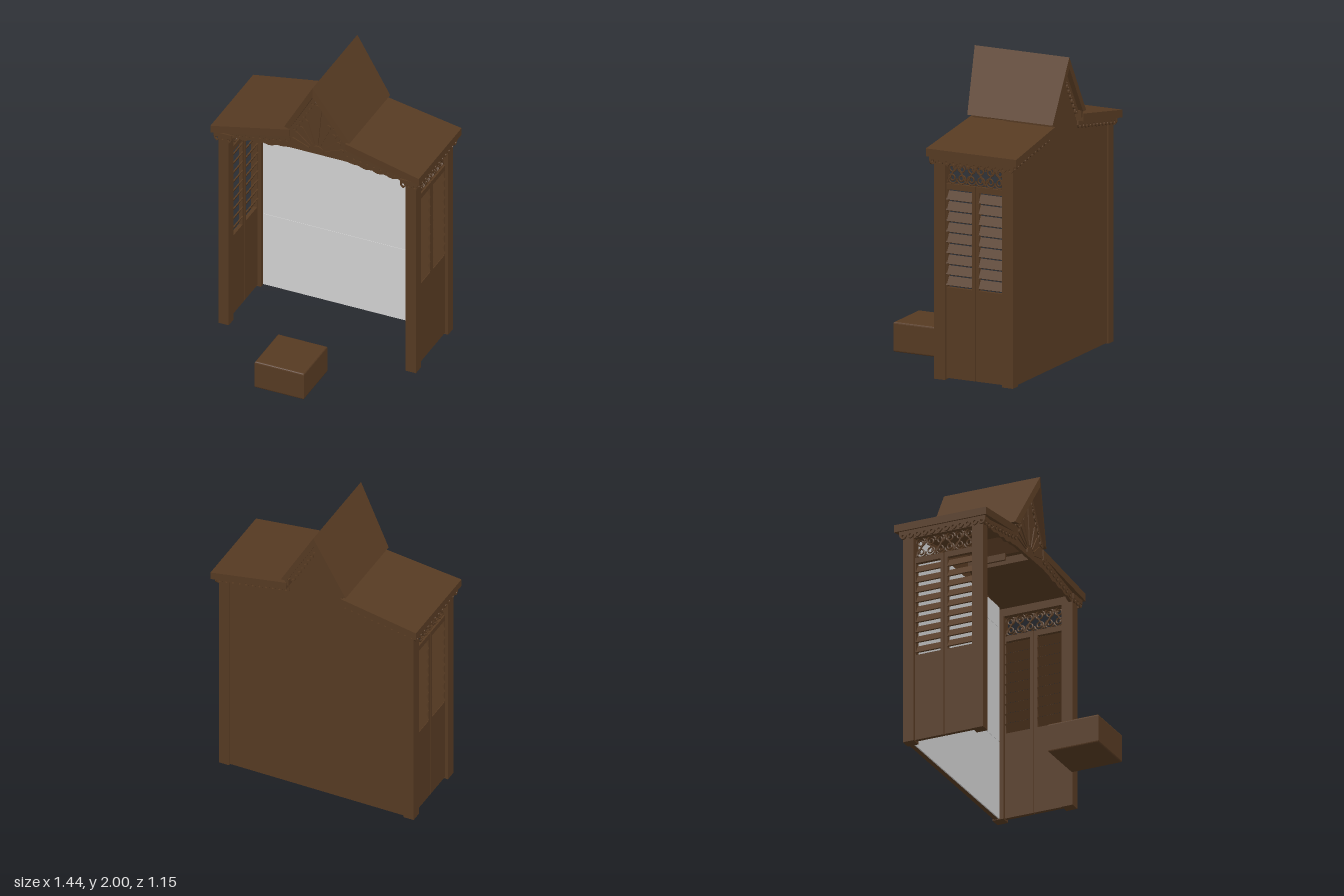
import * as THREE from 'three';

const wood = new THREE.MeshStandardMaterial({ color: 0x563a22 });
wood.name = 'darkWood';
const grey = new THREE.MeshStandardMaterial({ color: 0xd2d2d2 });
grey.name = 'greyPanel';

function add(parent, name, geo, mat = wood) {
  const m = new THREE.Mesh(geo, mat);
  m.name = name;
  parent.add(m);
  return m;
}

// Box given by its limits on each axis
function box(parent, name, x0, x1, y0, y1, z0, z1, mat = wood) {
  const m = add(parent, name, new THREE.BoxGeometry(Math.abs(x1 - x0), y1 - y0, Math.abs(z1 - z0)), mat);
  m.position.set((x0 + x1) / 2, (y0 + y1) / 2, (z0 + z1) / 2);
  return m;
}

const shapeOf = pts => new THREE.Shape(pts.map(p => new THREE.Vector2(p[0], p[1])));
const extrude = (shape, depth) =>
  new THREE.ExtrudeGeometry(shape, { depth, bevelEnabled: false, curveSegments: 6 });

// Flat outline extruded from z0 to z1
function plate(parent, name, pts, z0, z1) {
  const m = add(parent, name, extrude(shapeOf(pts), z1 - z0));
  m.position.z = z0;
  return m;
}

// Roof slab with a slanting front edge
function slab(parent, name, pts, front) {
  const geo = extrude(shapeOf(pts), 1);
  const p = geo.attributes.position;
  for (let i = 0; i < p.count; i++) p.setZ(i, p.getZ(i) > 0.5 ? front(Math.abs(p.getX(i))) : -0.578);
  geo.computeVertexNormals();
  add(parent, name, geo);
}

// Pierced trim hanging in scallops below the line from p to q
function scallops(parent, name, p, q, w, n, z, t) {
  const dx = q[0] - p[0], dy = q[1] - p[1], s = Math.hypot(dx, dy) / n;
  const shape = new THREE.Shape();
  shape.moveTo(0, 0);
  shape.lineTo(0, -w * 0.6);
  for (let i = 0; i < n; i++) {
    shape.quadraticCurveTo((i + 0.5) * s, -w * 1.4, (i + 1) * s, -w * 0.6);
    const hole = new THREE.Path();
    hole.absarc((i + 0.5) * s, -w * 0.62, w * 0.17, 0, Math.PI * 2, true);
    shape.holes.push(hole);
  }
  shape.lineTo(n * s, 0);
  const m = add(parent, name, extrude(shape, t));
  m.position.set(p[0], p[1], z);
  m.rotation.z = Math.atan2(dy, dx);
  return m;
}

// Spiral scroll lying in the y-z plane
function scroll(parent, x, y, z, flipY, flipZ) {
  const pts = [];
  for (let i = 0; i <= 16; i++) {
    const a = i / 16 * Math.PI * 3.2, r = 0.036 - 0.028 * i / 16;
    pts.push(new THREE.Vector3(0, flipY * r * Math.sin(a), flipZ * r * Math.cos(a)));
  }
  const geo = new THREE.TubeGeometry(new THREE.CatmullRomCurve3(pts), 30, 0.0055, 5);
  add(parent, 'scroll', geo).position.set(x, y, z);
}

function buildSide(parent, s) {
  const side = new THREE.Group();
  side.name = s > 0 ? 'leftSide' : 'rightSide';
  parent.add(side);

  // Posts and top beam
  box(side, 'frontPost', s * 0.61, s * 0.68, 0.01, 1.457, -0.055, 0.02);
  box(side, 'backPost', s * 0.61, s * 0.68, 0.01, 1.457, -0.535, -0.46);
  box(side, 'topBeam', s * 0.612, s * 0.678, 1.405, 1.457, -0.46, -0.055);

  // Two louvred shutters
  for (const [a, b, inner] of [[-0.055, -0.2575, -1], [-0.46, -0.2625, 1]]) {
    const x0 = s * 0.633, x1 = s * 0.658;
    const edge = b - inner * 0.0225;
    box(side, 'shutterPanel', x0, x1, 0.02, 0.605, a, b);
    box(side, 'shutterRail', x0, x1, 1.238, 1.275, a, b);
    box(side, 'shutterStile', x0, x1, 0.605, 1.238, edge, b);
    box(side, 'shutterEdge', x0, x1, 0.605, 1.238, a, a + inner * 0.006);
    for (let i = 0; i < 9; i++) {
      const y = 0.6455 + 0.069 * i;
      box(side, 'slat', s * 0.6415, s * 0.6495, y - 0.03, y + 0.03, a, edge).rotation.z = s * 0.5;
    }
  }

  // Scrolled fretwork
  for (let i = 0; i < 6; i++) {
    const z = -0.09 - i * 0.067;
    for (let j = 0; j < 2; j++) scroll(side, s * 0.645, 1.311 + j * 0.066, z, j ? 1 : -1, (i + j) % 2 ? 1 : -1);
    const vine = box(side, 'fretLink', s * 0.64, s * 0.65, 1.275, 1.41, z - 0.004, z + 0.004);
    vine.rotation.x = i % 2 ? 0.55 : -0.55;
  }

  // Trim below the eaves
  const trim = scallops(side, 'sideTrim', [0, 0], [0.595, 0], 0.055, 12, 0, 0.012);
  trim.rotation.y = Math.PI / 2;
  trim.position.set(s > 0 ? 0.69 : -0.702, 1.455, 0.045);
  const c = s > 0 ? 0.58 : -0.702;
  scallops(side, 'cornerTrim', [c, 1.452], [c + 0.122, 1.452], 0.06, 3, 0.033, 0.01);

  // Sloping roof
  slab(side, 'sideRoof',
    [[s * 0.718, 1.45], [s * 0.718, 1.5], [s * 0.19, 1.594], [s * 0.19, 1.544]],
    x => 0.022 + (x - 0.22) * 0.074);
  box(side, 'roofSpacer', s * 0.175, s * 0.2, 1.57, 1.615, -0.11, 0.0);
  box(side, 'roofSpacer', s * 0.175, s * 0.2, 1.57, 1.615, -0.57, -0.24);

  // Steep gable roof
  slab(side, 'gableRoof',
    [[s * 0.226, 1.61], [0, 2], [0, 1.93], [s * 0.185, 1.61]],
    x => 0.09 - x * 0.29);
}

// Tapered ray of the gable fan
function ray(parent, angle, length, width) {
  const shape = new THREE.Shape();
  shape.moveTo(-width * 0.25, 0.06);
  shape.lineTo(width * 0.25, 0.06);
  shape.lineTo(width, length - width);
  shape.absarc(0, length - width, width, 0, Math.PI, false);
  const m = add(parent, 'fanRay', extrude(shape, 0.008));
  m.position.set(0, 1.478, 0.0145);
  m.rotation.z = angle;
}

export function createModel() {
  const model = new THREE.Group();
  model.name = 'gardenArbour';
  for (const s of [1, -1]) buildSide(model, s);

  // Back wall running up into the gable
  const roofLine = [[0.19, 1.55], [0.19, 1.62], [0, 1.945], [-0.19, 1.62], [-0.19, 1.55]];
  plate(model, 'backWall',
    [[-0.612, 0.015], [0.612, 0.015], [0.612, 1.472], ...roofLine, [-0.612, 1.472]], -0.525, -0.495);
  [[0.016, 0.544], [0.546, 1.329], [1.331, 1.475]].forEach(([a, b]) =>
    box(model, 'backPanel', -0.609, 0.609, a, b, -0.495, -0.487, grey));

  // Front fascia with a wavy lower edge
  const lower = [];
  for (let i = 0; i <= 70; i++) {
    const x = -0.69 + i * 1.38 / 70;
    const t = Math.max(0, (Math.abs(x) - 0.2) / 0.4);
    lower.push([x, 1.46 - 0.034 * t - 0.014 * Math.min(1, t * 3) * Math.abs(Math.sin(x * 34))]);
  }
  plate(model, 'frontFascia', [...lower, [0.69, 1.458], ...roofLine, [-0.69, 1.458]], -0.005, 0.015);

  // Trim along the front and back roof lines
  for (const [z, name] of [[0.0145, 'frontTrim'], [-0.545, 'backTrim']]) {
    const t = z > 0 ? 0.0075 : 0.012;
    scallops(model, name, [-0.7, 1.456], [-0.19, 1.546], 0.05, 11, z, t);
    scallops(model, name, [0.19, 1.546], [0.7, 1.456], 0.05, 11, z, t);
    scallops(model, name, [-0.19, 1.605], [0, 1.932], 0.038, 9, z, t);
    scallops(model, name, [0, 1.932], [0.19, 1.605], 0.038, 9, z, t);
  }

  // Fan carving in the gable
  ray(model, 0, 0.35, 0.03);
  for (const s of [1, -1])
    for (const [a, l, w] of [[0.36, 0.235, 0.016], [0.66, 0.2, 0.018], [0.98, 0.19, 0.016], [1.27, 0.19, 0.012]])
      ray(model, s * a, l, w);
  const hub = add(model, 'fanHub', new THREE.CylinderGeometry(0.045, 0.045, 0.008, 20, 1, false, Math.PI / 2, Math.PI));
  hub.rotation.x = Math.PI / 2;
  hub.position.set(0, 1.478, 0.0185);
  add(model, 'gableRing', new THREE.TorusGeometry(0.016, 0.005, 6, 16)).position.set(0, 1.86, 0.018);

  // Low stool with softened edges
  const b = 0.012;
  const seat = new THREE.Shape();
  const hx = 0.17 - b, hz = 0.175 - b;
  seat.moveTo(-hx, -hz);
  seat.lineTo(hx, -hz);
  seat.lineTo(hx, hz);
  seat.lineTo(-hx, hz);
  const stool = add(model, 'stool', new THREE.ExtrudeGeometry(seat,
    { depth: 0.195 - 2 * b, bevelThickness: b, bevelSize: b, bevelSegments: 3 }));
  stool.rotation.x = -Math.PI / 2;
  stool.position.set(-0.004, b, 0.402);

  return model;
}
